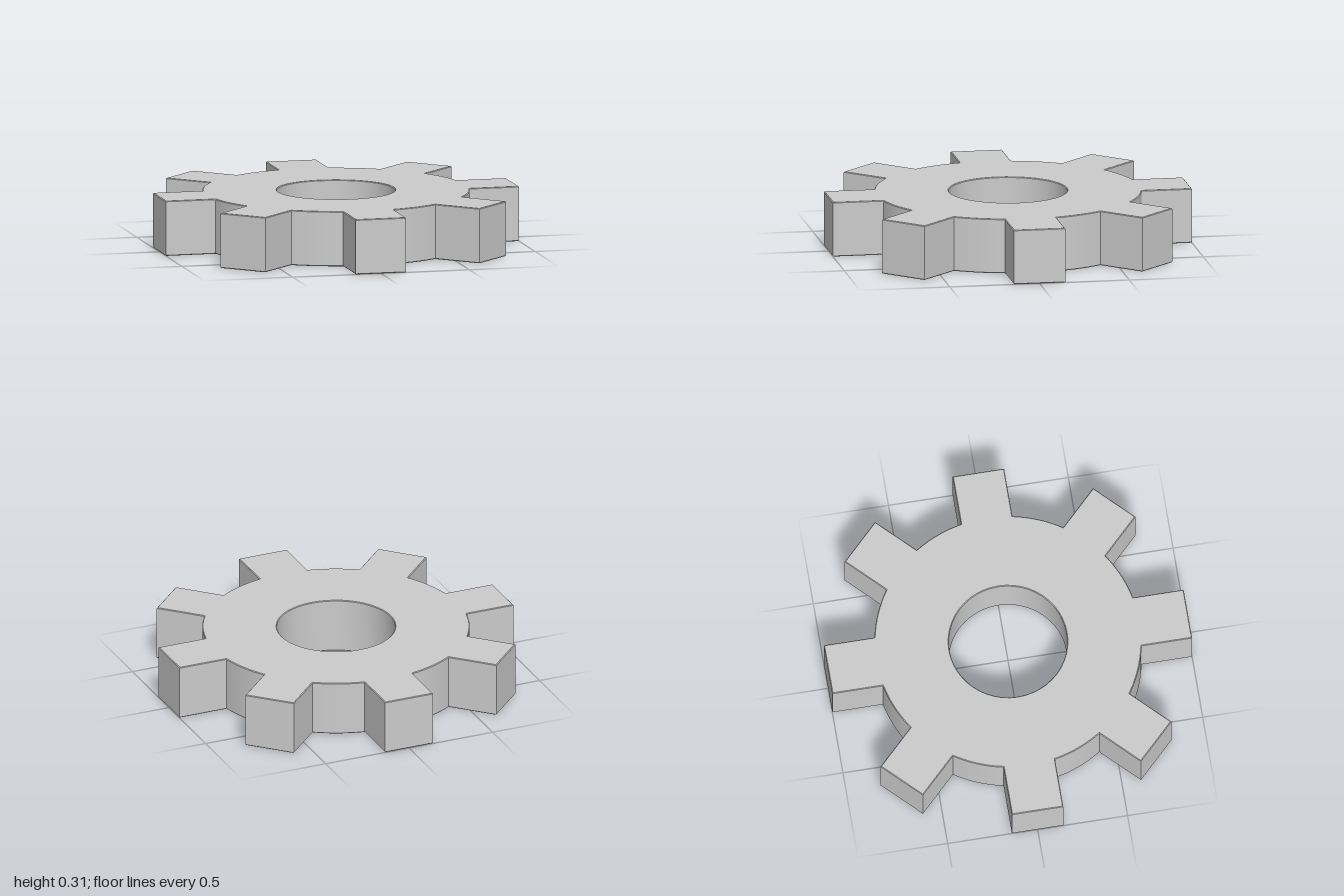
import * as THREE from 'three';
import { toCreasedNormals } from 'three/addons/utils/BufferGeometryUtils.js';

const TEETH = 8;
const TIP = 1;            // distance from centre to tooth face
const ROOT = 0.733;       // radius of the wheel between teeth
const HALF_WIDTH = 0.143; // half of a tooth's width
const BORE = 0.325;
const HEIGHT = 0.305;
const BEVEL = 0.004;

// Outline of straight-sided teeth joined by root arcs, with a round bore
function gearShape() {
  const shape = new THREE.Shape();
  const step = (Math.PI * 2) / TEETH;
  const half = Math.asin(HALF_WIDTH / ROOT);
  for (let i = 0; i < TEETH; i++) {
    const a = i * step;
    const corner = (side) => new THREE.Vector2(TIP, side * HALF_WIDTH).rotateAround(new THREE.Vector2(), a);
    const right = corner(-1);
    const left = corner(1);
    if (i === 0) shape.moveTo(right.x, right.y);
    else shape.lineTo(right.x, right.y);
    shape.lineTo(left.x, left.y);
    shape.absarc(0, 0, ROOT, a + half, a + step - half, false);
  }
  shape.closePath();
  const bore = new THREE.Path();
  bore.absarc(0, 0, BORE, 0, Math.PI * 2, true);
  shape.holes.push(bore);
  return shape;
}

export function createModel() {
  const group = new THREE.Group();
  group.name = 'gear';

  // Extrude with a hairline bevel and lay the wheel flat on the ground
  const geometry = new THREE.ExtrudeGeometry(gearShape(), {
    depth: HEIGHT - 2 * BEVEL,
    curveSegments: 24,
    bevelEnabled: true,
    bevelThickness: BEVEL,
    bevelSize: BEVEL,
    bevelOffset: -BEVEL,
    bevelSegments: 1,
  });
  geometry.rotateX(-Math.PI / 2);
  geometry.translate(0, BEVEL, 0);

  const wheel = new THREE.Mesh(
    toCreasedNormals(geometry, Math.PI / 6),
    new THREE.MeshStandardMaterial({ color: 0xcccccc })
  );
  wheel.name = 'toothedWheel';
  group.add(wheel);
  return group;
}
